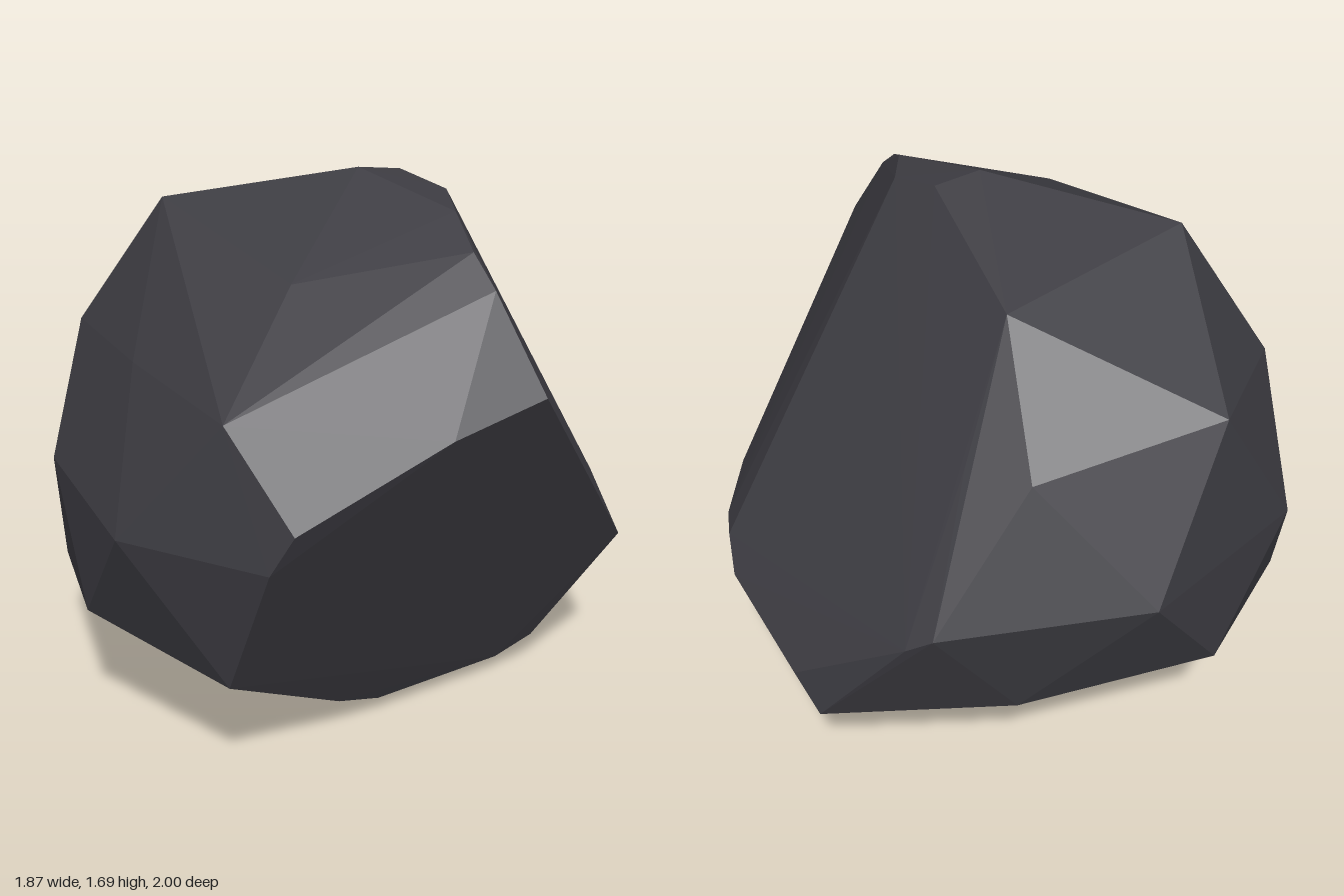
import * as THREE from 'three';
import { ConvexGeometry } from 'three/addons/geometries/ConvexGeometry.js';

export function createModel() {
  const stone = new THREE.MeshStandardMaterial({ color: 0x3d3c42 });
  stone.name = 'darkStone';
  stone.flatShading = true;

  // Rounded crown and front corners
  const front = [
    [0.1, 1.69, 0], [-0.4, 1.58, 0.34], [0.255, 1.455, 0.455], [-0.14, 1.2, 0.705],
    [0.4, 1.195, 0.865], [0.1, 0.815, 1], [-0.49, 0.815, 0.75], [-0.63, 1.18, 0.5],
    [-0.2, 0.44, 0.88],
  ];
  // Rounded side at -x
  const side = [
    [-0.885, 1.285, 0], [-0.94, 0.815, -0.31], [-0.91, 0.815, 0.31],
    [-0.92, 0.43, 0], [-0.71, 0.345, 0.56], [-0.63, 1.18, -0.5], [-0.64, 0.41, -0.56],
  ];
  // Rim of the large flat cut at +x
  const cut = [
    [0.625, 0.935, 0.835], [0.83, 1.14, 0.44], [0.93, 1.21, 0.17], [0.78, 0.52, -0.505],
    [0.555, 0.12, -0.37], [0.5, 0.065, -0.25], [0.375, 0.06, 0.2], [0.36, 0.12, 0.37],
    [0.365, 0.38, 0.835], [0.565, 0.815, 0.87],
  ];
  // Rim of the sloping cuts at the back
  const back = [
    [0.145, 1.67, -0.14], [0.325, 1.635, -0.14], [0.47, 1.615, 0], [0.61, 1.54, 0.095],
    [0.72, 1.46, 0.135], [-0.335, 1.51, -0.31], [-0.435, 1.175, -0.565],
    [-0.594, 0.81, -0.838], [-0.525, 0.76, -0.88], [-0.155, 0.5, -1],
    [-0.245, 0.385, -0.985], [0.265, 0.56, -0.905], [0.365, 0.63, -0.845],
    [0.505, 0.585, -0.755], [0.385, 0.38, -0.81],
  ];
  // Blunt base
  const base = [[0.1, 0, 0], [-0.475, 0.115, 0], [-0.08, 0.117, -0.495]];

  const points = [front, side, cut, back, base].flat().map((p) => new THREE.Vector3(...p));
  const rock = new THREE.Mesh(new ConvexGeometry(points), stone);
  rock.name = 'rock';

  const group = new THREE.Group();
  group.name = 'boulder';
  group.add(rock);
  return group;
}
